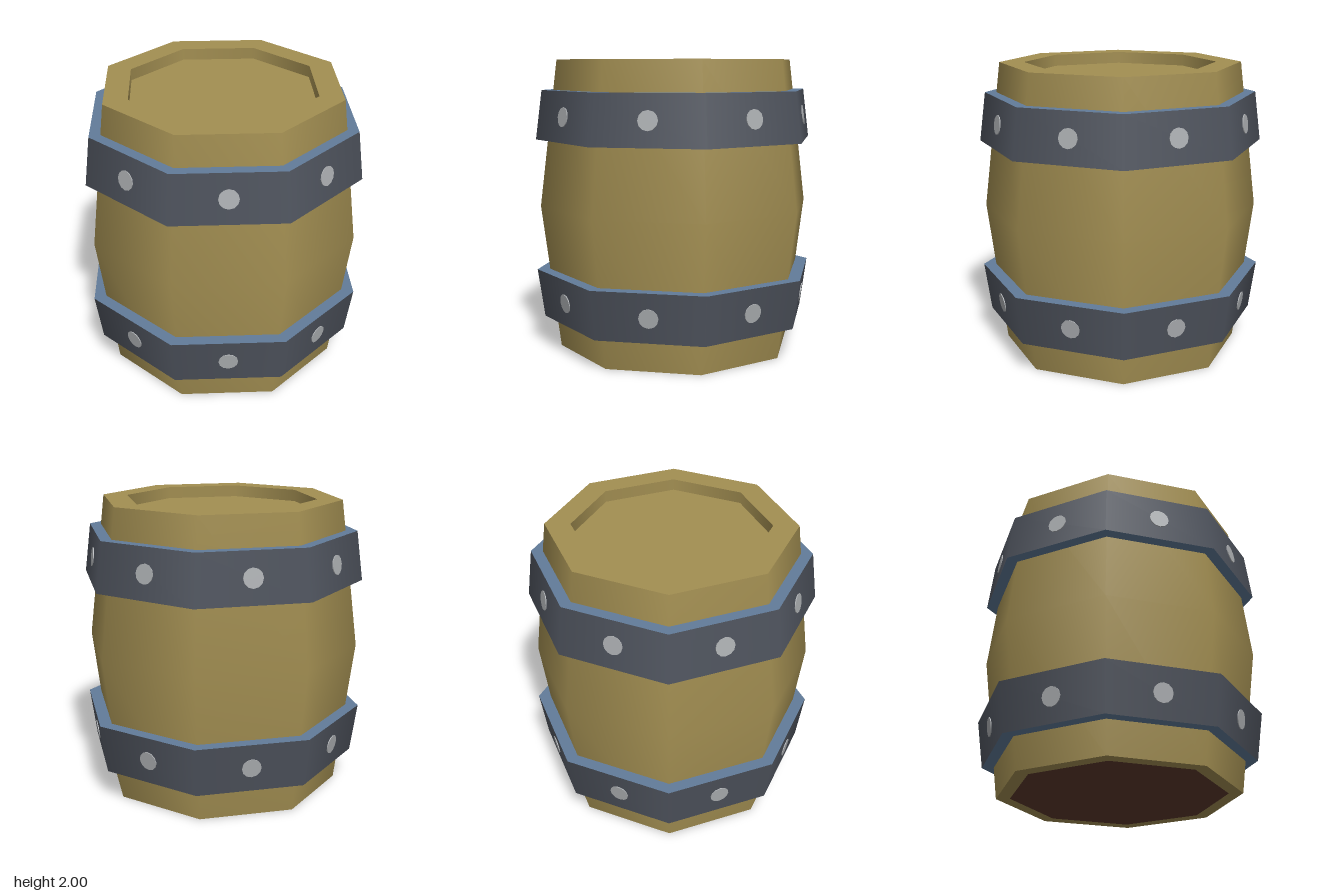
import * as THREE from 'three';

const mat = (name, color) => {
  const m = new THREE.MeshStandardMaterial({ color });
  m.name = name;
  return m;
};

export function createModel() {
  const wood = mat('wood', 0xa38f52);
  const darkWood = mat('dark wood', 0x5c382c);
  const iron = mat('dark iron', 0x4f545e);
  const steel = mat('blue steel edge', 0x627c9a);
  const rivetMetal = mat('rivet metal', 0xadb0b3);
  const SIDES = 8;
  const root = new THREE.Group();
  root.name = 'barrel';

  // Octagonal surface turned from [radius, height] points
  const turned = (name, parent, material, points) => {
    const geo = new THREE.LatheGeometry(points.map(([r, y]) => new THREE.Vector2(r, y)), SIDES);
    const mesh = new THREE.Mesh(geo, material);
    mesh.name = name;
    parent.add(mesh);
  };

  // Body: bulging staves, top rim, sunken lid and base
  turned('staves', root, wood, [[0.825, 0], [0.95, 1], [0.825, 2]]);
  turned('topRim', root, wood, [[0.825, 2], [0.655, 2]]);
  turned('recessWall', root, wood, [[0.655, 2], [0.655, 1.92]]);
  turned('lid', root, wood, [[0.655, 1.92], [0, 1.92]]);
  turned('bottomRim', root, wood, [[0.73, 0], [0.825, 0]]);
  turned('base', root, darkWood, [[0, 0], [0.73, 0]]);

  // Hoop: sloped outer face, flat edges and one rivet per side
  const addHoop = (name, y0, r0, y1, r1) => {
    const hoop = new THREE.Group();
    hoop.name = name;
    root.add(hoop);
    turned('hoopFace', hoop, iron, [[r0, y0], [r1, y1]]);
    turned('hoopTopEdge', hoop, steel, [[r1, y1], [0.82, y1]]);
    turned('hoopBottomEdge', hoop, steel, [[0.82, y0], [r0, y0]]);

    const apothem = Math.cos(Math.PI / SIDES);
    const slope = Math.atan2((r0 - r1) * apothem, y1 - y0);
    const disc = new THREE.CylinderGeometry(0.065, 0.065, 0.012, 12);
    disc.rotateX(Math.PI / 2 - slope);
    disc.translate(0, (y0 + y1) / 2, ((r0 + r1) / 2) * apothem);
    for (let i = 0; i < SIDES; i++) {
      const rivet = new THREE.Mesh(disc, rivetMetal);
      rivet.name = 'rivet';
      rivet.rotation.y = ((i + 0.5) / SIDES) * Math.PI * 2;
      hoop.add(rivet);
    }
  };
  addHoop('lowerHoop', 0.22, 0.935, 0.555, 0.982);
  addHoop('upperHoop', 1.46, 0.974, 1.795, 0.93);

  return root;
}
